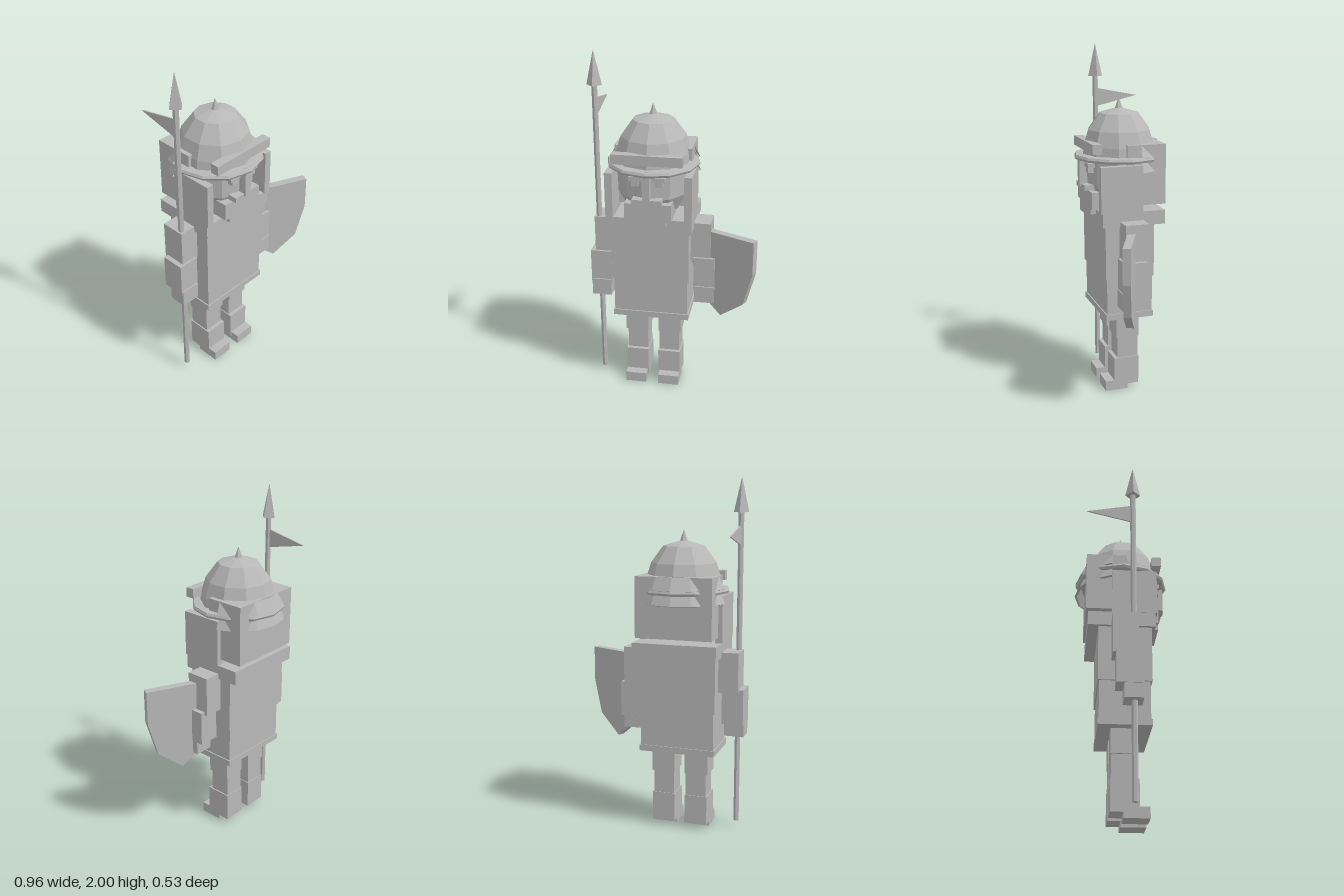
import * as THREE from 'three';

const stone = new THREE.MeshStandardMaterial({ color: 0xb8b8b8, flatShading: true, side: THREE.DoubleSide });
stone.name = 'plain grey';

const CX = -0.12; // centre line of the figure

export function createModel() {
  const model = new THREE.Group();
  model.name = 'spearGuard';

  const add = (name, geometry, x = 0, y = 0, z = 0) => {
    const mesh = new THREE.Mesh(geometry, stone);
    mesh.name = name;
    mesh.position.set(x, y, z);
    model.add(mesh);
    return mesh;
  };
  // box given by its limits on each axis
  const box = (name, x0, x1, y0, y1, z0, z1) =>
    add(name, new THREE.BoxGeometry(x1 - x0, y1 - y0, z1 - z0), (x0 + x1) / 2, (y0 + y1) / 2, (z0 + z1) / 2);
  // box centred on the body
  const bodyBox = (name, half, y0, y1, z0, z1) => box(name, CX - half, CX + half, y0, y1, z0, z1);
  // mirrored boxes, with distances measured from the body centre
  const pair = (name, d0, d1, y0, y1, z0, z1) => {
    box(name + 'Left', CX + d0, CX + d1, y0, y1, z0, z1);
    box(name + 'Right', CX - d1, CX - d0, y0, y1, z0, z1);
  };
  const lathe = (name, pts, sides, start = 0, sweep = Math.PI * 2) =>
    add(name, new THREE.LatheGeometry(pts.map(p => new THREE.Vector2(...p)), sides, start, sweep), CX, 0, 0);

  // legs
  pair('thigh', 0.03, 0.165, 0.33, 0.49, -0.065, 0.07);
  pair('shin', 0.035, 0.155, 0.2, 0.33, -0.063, 0.06);
  pair('boot', 0.03, 0.162, 0.03, 0.2, -0.067, 0.082);
  pair('foot', 0.036, 0.16, 0, 0.06, 0, 0.135);

  // body
  bodyBox('skirtHem', 0.22, 0.465, 0.5, -0.135, 0.147);
  bodyBox('skirt', 0.213, 0.5, 0.72, -0.13, 0.14);
  bodyBox('torso', 0.222, 0.71, 1.03, -0.137, 0.15);
  bodyBox('shoulderCape', 0.24, 1.02, 1.1, -0.195, 0.17);

  // arms
  pair('upperArm', 0.22, 0.335, 0.82, 1.05, -0.067, 0.07);
  pair('forearm', 0.24, 0.362, 0.64, 0.84, -0.05, 0.083);
  pair('hand', 0.245, 0.358, 0.56, 0.66, -0.01, 0.09);

  // head and hood
  lathe('head', [[0, 1.1], [0.15, 1.125], [0.2, 1.22], [0.205, 1.39]], 10);
  bodyBox('hood', 0.218, 1.13, 1.47, -0.205, 0.02);
  pair('cheekGuard', 0.2, 0.242, 1.1, 1.36, -0.065, 0.18);

  // face
  pair('brow', 0.03, 0.1, 1.335, 1.36, 0.15, 0.212);
  pair('eye', 0.045, 0.085, 1.305, 1.335, 0.15, 0.208);
  bodyBox('noseGuard', 0.02, 1.22, 1.4, 0.19, 0.24);
  bodyBox('moustache', 0.082, 1.205, 1.235, 0.15, 0.23);
  bodyBox('beard', 0.13, 1.1, 1.2, 0.02, 0.2);
  bodyBox('beardTip', 0.1, 1.07, 1.1, 0.02, 0.2);

  // helmet
  lathe('helmetDome', [[0.214, 1.385], [0.208, 1.45], [0.182, 1.535], [0.115, 1.627], [0, 1.66]], 10);
  lathe('helmetRim', [[0.205, 1.37], [0.255, 1.372], [0.262, 1.385], [0.255, 1.398], [0.205, 1.402]], 12);
  bodyBox('browBand', 0.195, 1.425, 1.48, 0.16, 0.212);
  add('helmetSpike', new THREE.ConeGeometry(0.026, 0.07, 6), CX, 1.68, 0);
  // flared neck plates around the back
  const sweep = 5 * Math.PI / 6;
  [[1.395, 1.47, 0.225], [1.315, 1.4, 0.23]].forEach(([y0, y1, r], i) =>
    lathe('neckPlate' + (i + 1),
      [[r, y1], [r + 0.035, y0 + 0.004], [r + 0.022, y0], [r - 0.012, y1 - 0.004], [r, y1]],
      6, Math.PI - sweep / 2, sweep));

  // spear with pennant
  const SX = -0.432, SZ = 0.045;
  add('spearShaft', new THREE.CylinderGeometry(0.016, 0.016, 1.78, 6), SX, 0.93, SZ);
  add('spearHead', new THREE.ConeGeometry(0.043, 0.19, 4), SX, 1.905, SZ);
  const flag = new THREE.Shape([[0, 1.74], [0.255, 1.69], [0, 1.63]].map(p => new THREE.Vector2(...p)));
  const pennant = add('pennant', new THREE.ExtrudeGeometry(flag, { depth: 0.008, bevelEnabled: false }), SX - 0.004, 0, SZ);
  pennant.rotation.y = Math.PI / 2;

  // shield, turned outward on the left arm
  const half = [[0.2, 1], [0.2, 0.8], [0.145, 0.6], [0, 0.485]];
  const outline = [...half, ...half.slice(0, 3).reverse().map(([x, y]) => [-x, y])];
  const shieldGeo = new THREE.ExtrudeGeometry(new THREE.Shape(outline.map(p => new THREE.Vector2(...p))),
    { depth: 0.044, bevelEnabled: false });
  shieldGeo.translate(0, 0, -0.022);
  add('shield', shieldGeo, 0.29, 0, 0.07).rotation.y = -0.42;

  return model;
}
